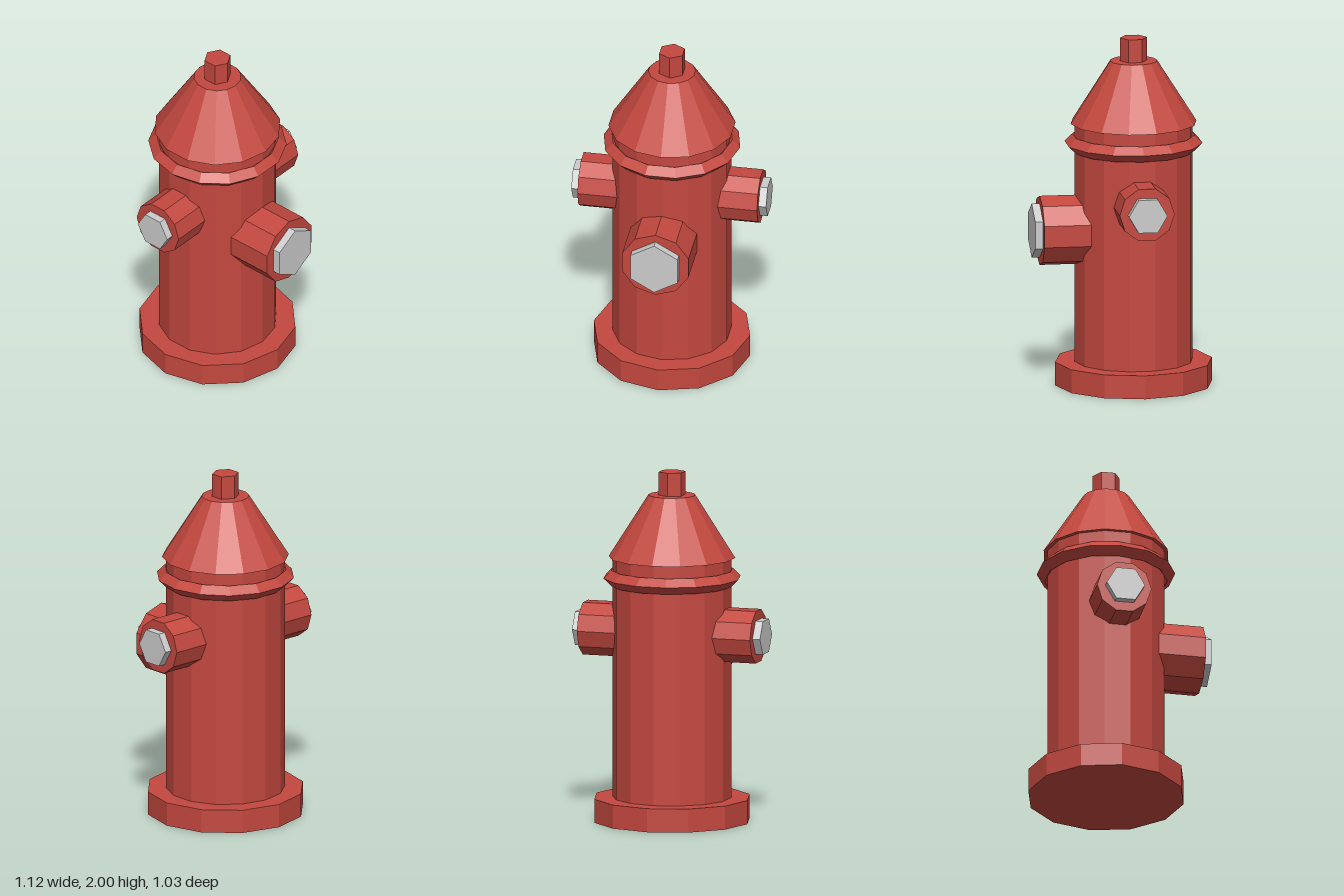
import * as THREE from 'three';

export function createModel() {
  const model = new THREE.Group();
  model.name = 'fireHydrant';

  const red = new THREE.MeshStandardMaterial({ color: 0xc4483f, flatShading: true });
  const grey = new THREE.MeshStandardMaterial({ color: 0xcccccc, flatShading: true });

  function add(name, geometry, material, parent) {
    const mesh = new THREE.Mesh(geometry, material);
    mesh.name = name;
    parent.add(mesh);
    return mesh;
  }

  // Upright prism or cone between two heights
  function upright(name, rBottom, rTop, y0, y1, sides) {
    const geometry = new THREE.CylinderGeometry(rTop, rBottom, y1 - y0, sides);
    add(name, geometry.translate(0, (y0 + y1) / 2, 0), red, barrel);
  }

  // Everything is built around the barrel's axis, which sits slightly back
  const barrel = new THREE.Group();
  barrel.name = 'barrel';
  barrel.position.z = -0.067;
  model.add(barrel);

  upright('base', 0.449, 0.449, 0, 0.135, 12);
  upright('body', 0.337, 0.337, 0.135, 1.51, 14);
  upright('bonnet', 0.36, 0.134, 1.51, 1.867, 14);
  upright('topNut', 0.077, 0.077, 1.867, 2, 6);

  // Diamond-section ring around the neck
  const ring = new THREE.TorusGeometry(0.347, 0.045, 4, 14);
  add('neckRing', ring.rotateX(Math.PI / 2).translate(0, 1.395, 0), red, barrel);

  // Outlet pointing along its own +y, with a hexagonal cap
  function outlet(name, radius, capRadius, y, inner, outer, capEnd) {
    const group = new THREE.Group();
    group.name = name;
    group.position.y = y;
    const pipe = new THREE.CylinderGeometry(radius, radius, outer - inner, 10);
    add(name + 'Pipe', pipe.translate(0, (inner + outer) / 2, 0), red, group);
    const cap = new THREE.CylinderGeometry(capRadius, capRadius, capEnd - outer, 6);
    add(name + 'Cap', cap.translate(0, (outer + capEnd) / 2, 0), grey, group);
    barrel.add(group);
    return group;
  }

  outlet('frontOutlet', 0.2, 0.156, 0.9, 0.15, 0.538, 0.583).rotation.x = Math.PI / 2;
  for (const [name, side] of [['leftOutlet', 1], ['rightOutlet', -1]]) {
    outlet(name, 0.157, 0.11, 1.081, 0.15, 0.516, 0.56).rotation.z = -side * Math.PI / 2;
  }

  return model;
}
